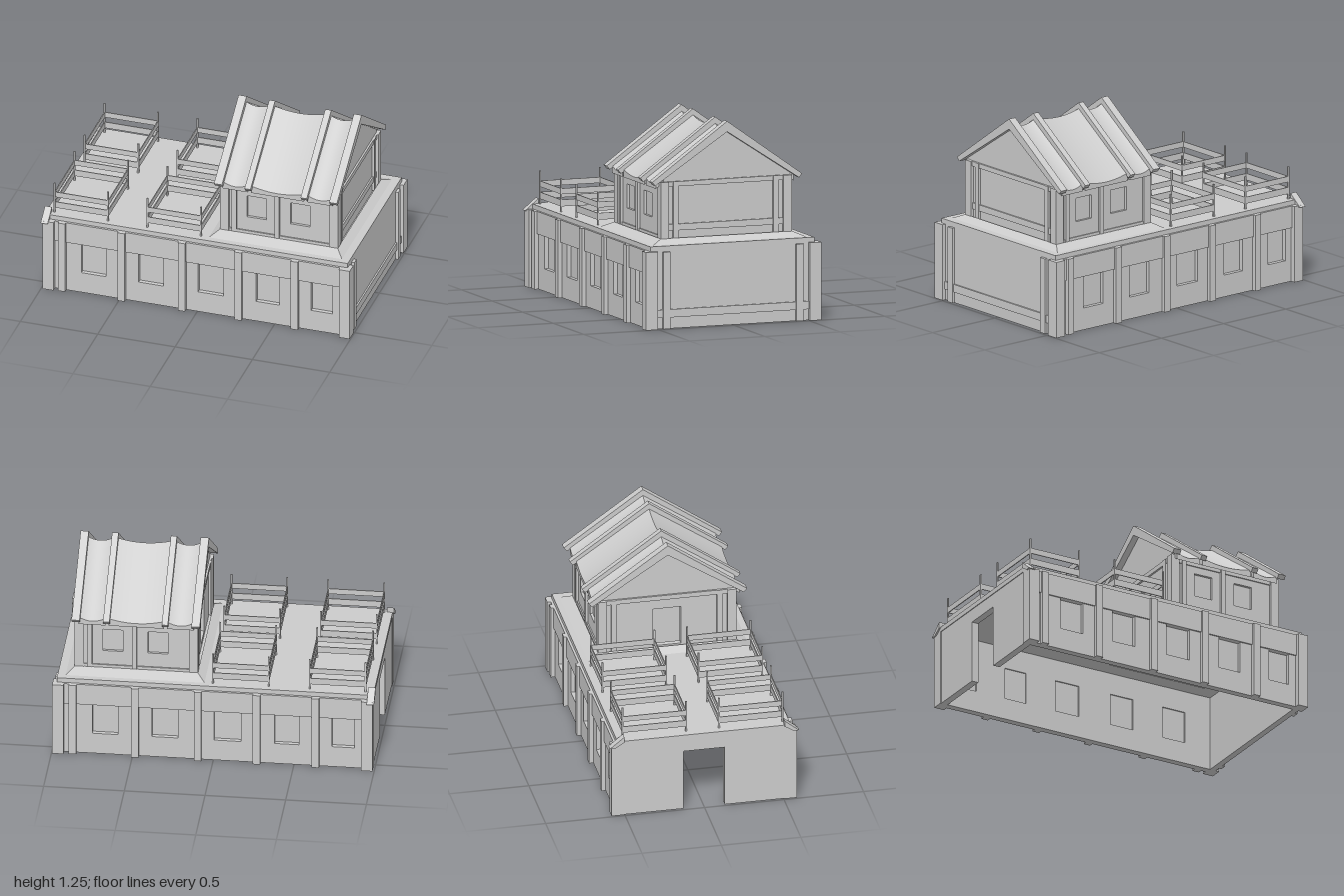
import * as THREE from 'three';
import { toCreasedNormals } from 'three/addons/utils/BufferGeometryUtils.js';

const material = new THREE.MeshStandardMaterial({ color: 0xcccccc, side: THREE.DoubleSide });

function add(parent, name, geometry) {
  const mesh = new THREE.Mesh(geometry, material);
  mesh.name = name;
  parent.add(mesh);
  return mesh;
}

// Box given by its lower and upper limits on each axis
function block(parent, name, [x0, x1], [y0, y1], [z0, z1]) {
  const mesh = add(parent, name, new THREE.BoxGeometry(x1 - x0, y1 - y0, z1 - z0));
  mesh.position.set((x0 + x1) / 2, (y0 + y1) / 2, (z0 + z1) / 2);
  return mesh;
}

const polygon = (pts) => pts.map(([x, y]) => new THREE.Vector2(x, y));
const rect = (x0, x1, y0, y1) => polygon([[x0, y0], [x1, y0], [x1, y1], [x0, y1]]);

function slab(points, holes, depth) {
  const shape = new THREE.Shape(points);
  shape.holes = holes.map((h) => new THREE.Path(h));
  return new THREE.ExtrudeGeometry(shape, { depth, bevelEnabled: false });
}

// Outline in (z, y), pushed along x from x0 to x1
function crossPiece(parent, name, points, x0, x1) {
  const geometry = slab(polygon(points), [], x1 - x0);
  geometry.rotateY(Math.PI / 2);
  geometry.scale(1, 1, -1);
  // restore winding after the mirror
  const p = geometry.attributes.position;
  const a = new THREE.Vector3(), b = new THREE.Vector3();
  for (let i = 0; i < p.count; i += 3) {
    a.fromBufferAttribute(p, i + 1);
    b.fromBufferAttribute(p, i + 2);
    p.setXYZ(i + 1, b.x, b.y, b.z);
    p.setXYZ(i + 2, a.x, a.y, a.z);
  }
  geometry.computeVertexNormals();
  const mesh = add(parent, name, geometry);
  mesh.position.x = x0;
  return mesh;
}

// Wall facing +z with recessed windows; spans are [left, right]
function windowWall(parent, [x0, x1], [y0, y1], outer, thick, spans, [w0, w1]) {
  const holes = spans.map(([a, b]) => rect(a, b, w0, w1));
  add(parent, 'wall', slab(rect(x0, x1, y0, y1), holes, thick)).position.z = outer - thick;
  for (const s of spans) {
    block(parent, 'windowPane', s, [w0, w1], [outer - thick + 0.008, outer - thick + 0.018]);
  }
}

function lowerStorey() {
  const g = new THREE.Group();
  g.name = 'lowerStorey';
  const windows = [[-0.75, -0.59], [-0.38, -0.22], [0.005, 0.17], [0.38, 0.53], [0.735, 0.875]];

  // Long sides: the back is the front turned half round
  for (const turn of [0, Math.PI]) {
    const side = new THREE.Group();
    side.name = turn ? 'backSide' : 'frontSide';
    side.rotation.y = turn;
    windowWall(side, [-0.97, 0.97], [0, 0.485], 0.55, 0.045, windows, [0.14, 0.345]);
    block(side, 'upperRail', [-0.96, 0.96], [0.345, 0.485], [0.545, 0.56]);
    for (const x of [-0.87, -0.485, -0.095, 0.27, 0.635]) {
      block(side, 'wallPost', [x - 0.023, x + 0.023], [0, 0.485], [0.53, 0.577]);
    }
    g.add(side);
  }

  // Right end: blank wall with posts and a low rail
  block(g, 'endWall', [0.93, 0.97], [0, 0.485], [-0.51, 0.51]);
  block(g, 'endRail', [0.96, 0.98], [0.07, 0.12], [-0.51, 0.51]);
  for (const s of [-1, 1]) {
    const post = block(g, 'endPost', [0.96, 0.988], [0, 0.48], [0.42, 0.465]);
    post.position.z *= s;
    for (const [x0, x1] of [[0.925, 0.995], [-0.99, -0.92]]) {
      const corner = block(g, 'cornerPost', [x0, x1], [0, 0.485], [0.505, 0.583]);
      corner.position.z *= s;
    }
    // Sloping board over the doorway-end corners
    crossPiece(g, 'cornerBoard',
      [[0.595, 0.475], [0.505, 0.548], [0.505, 0.51], [0.56, 0.475]].map(([z, y]) => [z * s, y]), -1, -0.955);
  }

  // Left end: wall with an open doorway
  const doorWall = polygon([[-0.52, 0], [-0.13, 0], [-0.13, 0.4], [0.13, 0.4], [0.13, 0], [0.52, 0], [0.52, 0.5], [-0.52, 0.5]]);
  const wall = add(g, 'doorwayWall', slab(doorWall, [], 0.045));
  wall.rotation.y = Math.PI / 2;
  wall.position.x = -0.985;

  // Deck with an opening under the upper house
  const deck = add(g, 'deck', slab(rect(-0.99, 0.97, -0.545, 0.545), [rect(0.15, 0.83, -0.4, 0.4)], 0.03));
  deck.rotation.x = -Math.PI / 2;
  deck.position.y = 0.485;
  return g;
}

function upperHouse() {
  const g = new THREE.Group();
  g.name = 'upperHouse';
  const midX = 0.49;

  // Sloping skirt round the foot of the house
  const skirt = new THREE.CylinderGeometry(1, 1, 0.03, 4, 1, true, Math.PI / 4).toNonIndexed();
  const p = skirt.attributes.position;
  for (let i = 0; i < p.count; i++) {
    const top = p.getY(i) > 0;
    p.setX(i, Math.sign(p.getX(i)) * (top ? 0.38 : 0.43));
    p.setZ(i, Math.sign(p.getZ(i)) * (top ? 0.435 : 0.505));
  }
  skirt.computeVertexNormals();
  add(g, 'skirt', skirt).position.set(midX, 0.53, 0);

  // Window sides, about the middle of the house
  for (const turn of [0, Math.PI]) {
    const side = new THREE.Group();
    side.name = turn ? 'backSide' : 'frontSide';
    side.position.x = midX;
    side.rotation.y = turn;
    windowWall(side, [-0.38, 0.38], [0.51, 0.895], 0.42, 0.035, [[-0.21, -0.085], [0.07, 0.195]], [0.655, 0.805]);
    block(side, 'sillRail', [-0.37, 0.37], [0.53, 0.56], [0.41, 0.428]);
    block(side, 'topRail', [-0.37, 0.37], [0.85, 0.895], [0.41, 0.428]);
    for (const x of [-0.29, -0.013, 0.355]) {
      block(side, 'wallPost', [x - 0.015, x + 0.015], [0.53, 0.89], [0.41, 0.436]);
    }
    g.add(side);
  }

  // Gable ends; the left one has a doorway
  const gable = polygon([[-0.41, 0.51], [0.41, 0.51], [0.41, 0.915], [0, 1.2], [-0.41, 0.915]]);
  for (const s of [-1, 1]) {
    const end = new THREE.Group();
    end.name = s > 0 ? 'blankGable' : 'doorwayGable';
    end.position.x = midX;
    end.rotation.y = s * Math.PI / 2;
    add(end, 'gableWall', slab(gable, s < 0 ? [rect(-0.09, 0.09, 0.545, 0.8)] : [], 0.035)).position.z = 0.325;
    block(end, 'tieBeam', [-0.43, 0.43], [0.865, 0.895], [0.355, 0.372]);
    for (const m of [-1, 1]) {
      block(end, 'cornerPost', [0.38, 0.436], [0.53, 0.895], [0.325, 0.382]).position.x *= m;
      block(end, 'gablePost', [0.315, 0.35], [0.53, 0.895], [0.355, 0.376]).position.x *= m;
      if (s > 0) block(end, 'lowRail', [0, 0.4], [0.59, 0.63], [0.355, 0.37]).position.x *= m;
    }
    g.add(end);
  }
  return g;
}

function roof() {
  const g = new THREE.Group();
  g.name = 'roof';
  const rafters = [[0.09, 0.142], [0.288, 0.326], [0.65, 0.69], [0.835, 0.885]];
  const chevron = [[0, 1.255], [-0.498, 0.902], [-0.478, 0.878], [0, 1.19], [0.478, 0.878], [0.498, 0.902]];
  for (const [x0, x1] of rafters) crossPiece(g, 'rafter', chevron, x0, x1);

  // Sheets sagging between the rafters, sheared down both slopes
  for (let i = 0; i < 3; i++) {
    const a = rafters[i][1] - 0.01, b = rafters[i + 1][0] + 0.01;
    const half = (b - a) / 2;
    const pts = [[-half, 1.17], [half, 1.17]];
    for (let k = 0; k <= 12; k++) {
      const t = 1 - k / 6;
      pts.push([t * half, 1.195 + 0.025 * t * t]);
    }
    for (const turn of [0, Math.PI]) {
      const geometry = slab(polygon(pts), [], 0.458);
      const p = geometry.attributes.position;
      for (let v = 0; v < p.count; v++) p.setY(v, p.getY(v) - 0.69 * p.getZ(v));
      const sheet = add(g, 'roofSheet', toCreasedNormals(geometry, 0.5));
      sheet.position.x = (a + b) / 2;
      sheet.rotation.y = turn;
    }
  }
  return g;
}

// Railed pen: four thin posts and two boards on every side
function pen(cx, cz) {
  const g = new THREE.Group();
  g.name = 'railedPen';
  g.position.set(cx, 0, cz);
  const hx = 0.173, hz = 0.2;
  for (const s of [-1, 1]) {
    for (const t of [-1, 1]) {
      block(g, 'railPost', [s * hx - 0.005, s * hx + 0.005], [0.51, 0.722], [t * hz - 0.005, t * hz + 0.005]);
    }
    for (const [y0, y1] of [[0.548, 0.59], [0.624, 0.66]]) {
      block(g, 'railBoard', [-hx, hx], [y0, y1], [s * hz - 0.003, s * hz + 0.003]);
      block(g, 'railBoard', [s * hx - 0.003, s * hx + 0.003], [y0, y1], [-hz, hz]);
    }
  }
  return g;
}

export function createModel() {
  const model = new THREE.Group();
  model.name = 'house';
  model.add(lowerStorey(), upperHouse(), roof());
  for (const x of [-0.765, -0.165]) for (const z of [-0.303, 0.303]) model.add(pen(x, z));
  return model;
}
